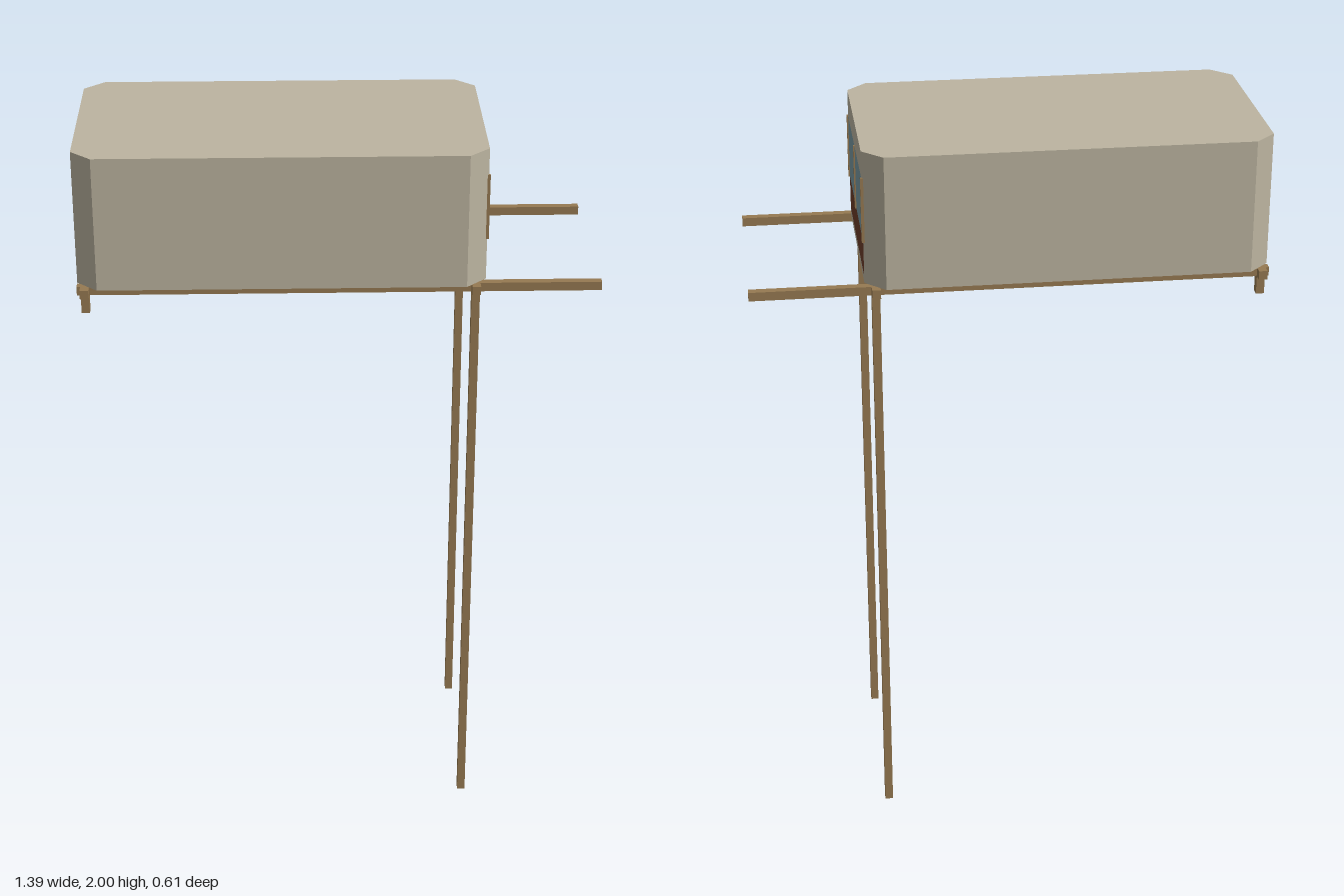
import * as THREE from 'three';

const mat = (name, color, side = THREE.FrontSide) => {
  const m = new THREE.MeshStandardMaterial({ color, side });
  m.name = name;
  return m;
};

export function createModel() {
  const group = new THREE.Group();
  const wall = mat('beige panel', 0xbcb4a0);
  const wood = mat('timber', 0x967a52);
  const glass = mat('blue glass', 0x7a9ba4);
  const brown = mat('red brown panel', 0x6e3d2a);

  const add = (name, geometry, material) => {
    const mesh = new THREE.Mesh(geometry, material);
    mesh.name = name;
    group.add(mesh);
    return mesh;
  };
  // box given by its limits on each axis
  const box = (name, material, [x0, x1], [y0, y1], [z0, z1]) =>
    add(name, new THREE.BoxGeometry(x1 - x0, y1 - y0, z1 - z0), material)
      .position.set((x0 + x1) / 2, (y0 + y1) / 2, (z0 + z1) / 2);

  const X0 = -0.695, X1 = 0.387, Z = 0.305;
  const cx0 = -0.64, cx1 = 0.333, cz = 0.25;
  const base = 1.635, floorTop = 1.655, top = 2, t = 0.01;

  // chamfered floor and roof slabs
  const plan = [[cx0, -Z], [cx1, -Z], [X1, -cz], [X1, cz], [cx1, Z], [cx0, Z], [X0, cz], [X0, -cz]];
  const slab = (name, y0, y1) => {
    const shape = new THREE.Shape(plan.map(([x, z]) => new THREE.Vector2(x, -z)));
    const g = new THREE.ExtrudeGeometry(shape, { depth: y1 - y0, bevelEnabled: false });
    g.rotateX(-Math.PI / 2);
    add(name, g, wall).position.y = y0;
  };
  slab('floor', base, floorTop);
  slab('roof', top - t, top);

  // long side walls and angled corner panels
  plan.forEach(([ax, az], i) => {
    const [bx, bz] = plan[(i + 1) % plan.length];
    if (ax === bx) return; // end walls are built below
    const dx = bx - ax, dz = bz - az, len = Math.hypot(dx, dz);
    const m = add(i % 4 === 0 ? 'sideWall' : 'cornerPanel',
      new THREE.BoxGeometry(len, top - t - floorTop, t), wall);
    m.rotation.y = -Math.atan2(dz, dx);
    m.position.set((ax + bx) / 2 - dz / len * t / 2, (floorTop + top - t) / 2,
      (az + bz) / 2 + dx / len * t / 2);
  });

  // glazed end
  const end = [X1 - t, X1], width = [-cz, cz];
  box('lowerEndPanel', brown, end, [floorTop, 1.75], width);
  box('window', glass, end, [1.75, 1.925], width);
  box('windowHeader', wall, end, [1.925, top - t], width);
  for (const z of [-cz, 0, cz])
    box('windowMullion', wood, [X1 - t, X1 + 0.004], [1.75, 1.928], [z - 0.004, z + 0.004]);

  // end wall with doorway, and the partition behind it
  const doorTop = 1.88, doorZ = 0.16;
  box('doorHeader', wall, [X0, X0 + t], [doorTop, top - t], width);
  for (const s of [-1, 1])
    box('doorSidePanel', wall, [X0, X0 + t], [floorTop, doorTop],
      s > 0 ? [doorZ, cz] : [-cz, -doorZ]);
  box('partition', wall, [-0.59, -0.58], [floorTop, top - t], width);

  // timber frame: long beams, tall legs and short posts on both sides
  for (const s of [-1, 1]) {
    const z = s * 0.268, r = 0.0115;
    box('longBeam', wood, [X0, 0.693], [1.611, base], [z - r, z + r]);
    box('leg', wood, [0.348, 0.37], [0, base], [z - r, z + r]);
    box('shortPost', wood, [-0.685, -0.663], [1.56, base], [z - r, z + r]);
  }
  for (const x of [-0.674, 0.359])
    box('crossBeam', wood, [x - 0.0115, x + 0.0115], [1.611, base], [-Z, Z]);

  return group;
}
